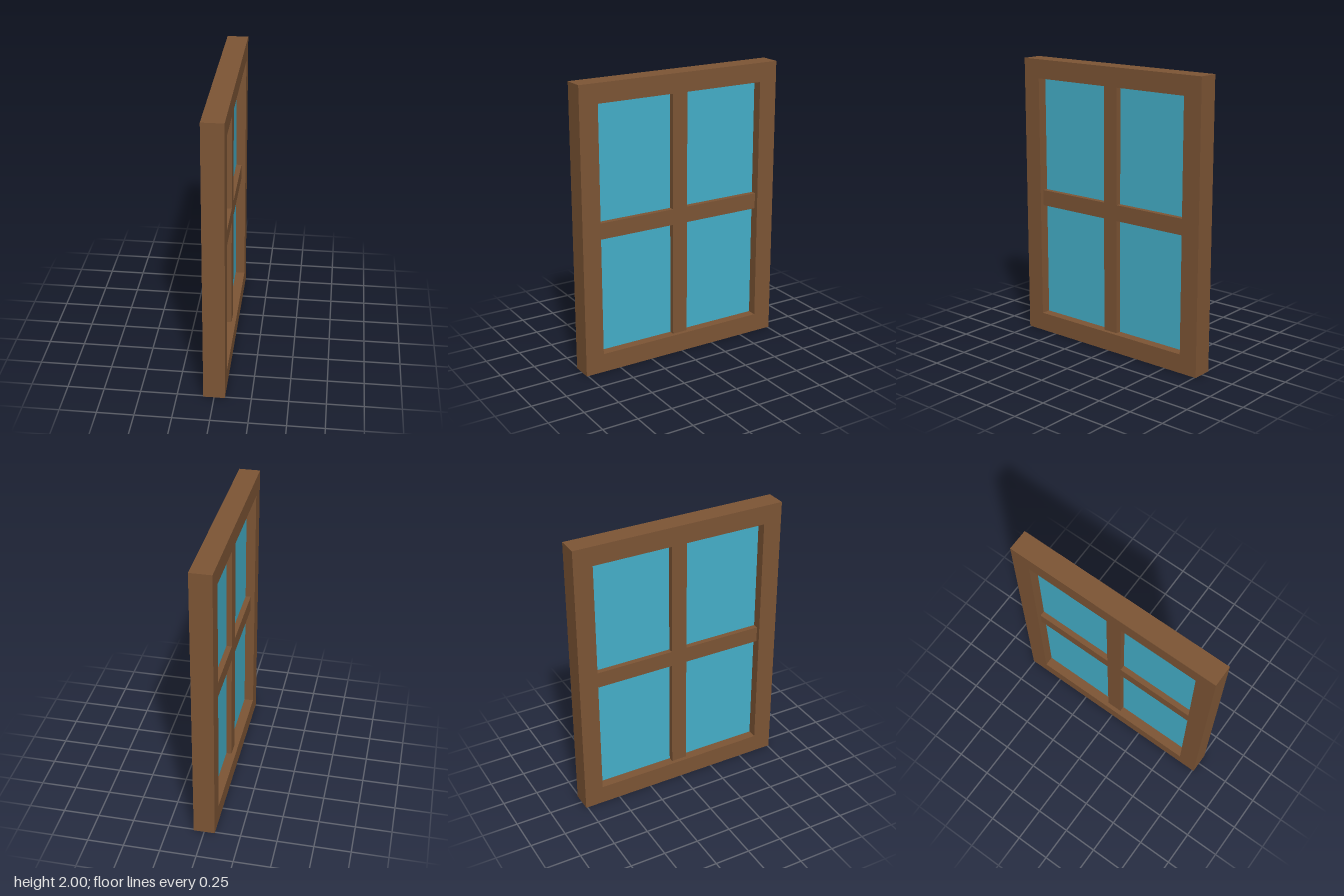
import * as THREE from 'three';

export function createModel() {
  const model = new THREE.Group();
  const wood = new THREE.MeshStandardMaterial({ color: 0x7d5535 });
  const glass = new THREE.MeshStandardMaterial({ color: 0x45b0ca });

  const H = 2, W = 1.52, DEPTH = 0.146; // outer frame
  const BORDER = 0.133;                 // frame member width
  const BAR = 0.112, BAR_DEPTH = 0.088; // glazing bars
  const innerH = H - 2 * BORDER, innerW = W - 2 * BORDER;
  const midY = H / 2 + 0.004;

  function box(name, depth, height, width, y, z, material) {
    const mesh = new THREE.Mesh(new THREE.BoxGeometry(depth, height, width), material);
    mesh.name = name;
    mesh.position.set(0, y, z);
    model.add(mesh);
  }

  // Outer frame: full-width rails with stiles between them
  box('bottomRail', DEPTH, BORDER, W, BORDER / 2, 0, wood);
  box('topRail', DEPTH, BORDER, W, H - BORDER / 2, 0, wood);
  for (const s of [1, -1]) {
    box(s > 0 ? 'frontStile' : 'backStile', DEPTH, innerH, BORDER, H / 2, s * (W - BORDER) / 2, wood);
  }

  // Crossing glazing bars, the upright split around the crossbar
  box('crossbar', BAR_DEPTH, BAR, innerW, midY, 0, wood);
  const spans = [[BORDER, midY - BAR / 2], [midY + BAR / 2, H - BORDER]];
  spans.forEach(([y0, y1], i) => {
    const row = i ? 'upper' : 'lower';
    box(row + 'UprightBar', BAR_DEPTH, y1 - y0, BAR, (y0 + y1) / 2, 0, wood);

    // Two panes per row
    const paneW = (innerW - BAR) / 2;
    for (const s of [1, -1]) {
      box(row + (s > 0 ? 'FrontPane' : 'BackPane'), 0.012, y1 - y0, paneW,
        (y0 + y1) / 2, s * (BAR + paneW) / 2, glass);
    }
  });

  return model;
}
